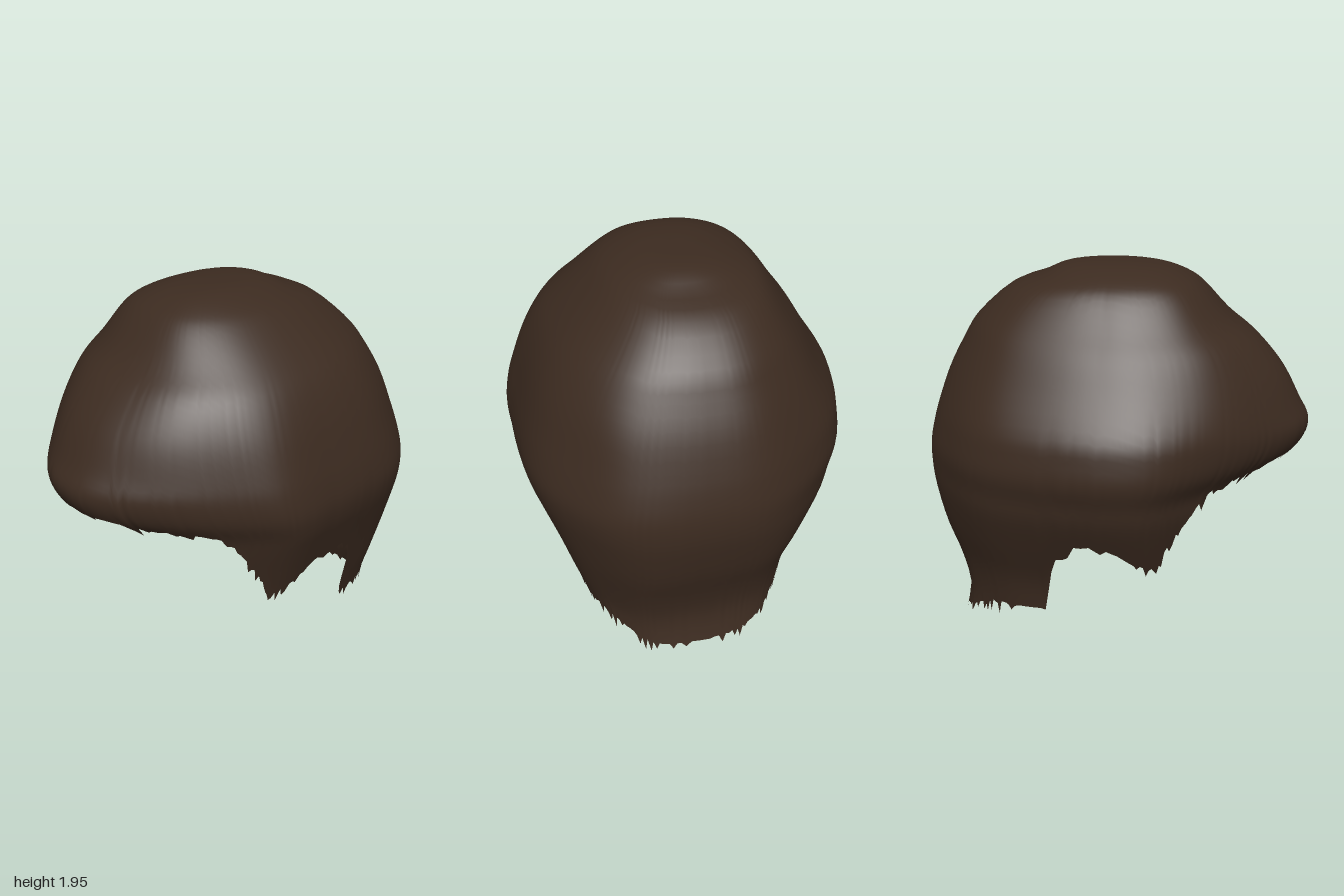
import * as THREE from 'three';

// Horizontal sections: y, front z, back z, left x, right x, front taper, back power
const SECTIONS = [
  [1.95, 0, 0, 0, 0, -0.1, 0.9],
  [1.945, 0.13, 0.18, 0.11, 0.12, -0.15, 0.9],
  [1.925, 0.26, 0.29, 0.2, 0.23, -0.2, 0.87],
  [1.88, 0.37, 0.39, 0.31, 0.35, -0.25, 0.84],
  [1.82, 0.45, 0.55, 0.4, 0.43, -0.25, 0.83],
  [1.68, 0.58, 0.71, 0.56, 0.53, -0.05, 0.83],
  [1.57, 0.72, 0.78, 0.66, 0.61, 0.2, 0.84],
  [1.42, 0.85, 0.86, 0.74, 0.7, 0.6, 0.85],
  [1.25, 0.94, 0.925, 0.8, 0.81, 1.0, 0.87],
  [1.14, 0.99, 0.96, 0.83, 0.84, 1.3, 0.87],
  [1.03, 0.95, 0.985, 0.845, 0.85, 1.4, 0.86],
  [0.92, 0.84, 0.99, 0.83, 0.82, 1.4, 0.85],
  [0.8, 0.82, 0.975, 0.79, 0.79, 1.45, 0.82],
  [0.6, 0.78, 0.93, 0.72, 0.7, 1.5, 0.76],
  [0.4, 0.75, 0.86, 0.66, 0.61, 1.5, 0.7],
  [0.2, 0.72, 0.82, 0.6, 0.57, 1.5, 0.67],
  [0.0, 0.72, 0.86, 0.58, 0.54, 1.5, 0.67],
];

// Lower edge: degrees away from the front, height
const HEM = [
  [0, 1.03], [12, 1.01], [26, 0.97], [36, 0.95], [42, 0.93], [46, 0.88], [51, 0.8], [62, 0.65],
  [67, 0.52], [72, 0.53], [81, 0.58], [86, 0.64], [91, 0.68], [98, 0.68], [101, 0.63], [104, 0.46],
  [105.5, 0.3], [108, 0.23], [132, 0.21], [144, 0.15], [156, 0.09], [166, 0.05], [184, 0.03],
];

function hemHeight(deg) {
  let k = 1;
  while (k < HEM.length - 1 && HEM[k][0] < deg) k++;
  const [a, ya] = HEM[k - 1], [b, yb] = HEM[k];
  return ya + (yb - ya) * (deg - a) / (b - a);
}

function seeded(seed) {
  return () => {
    seed = (seed * 16807) % 2147483647;
    return seed / 2147483647;
  };
}

// Smooth curve through three columns of the section table
function profile(a, b, c) {
  const points = SECTIONS.map(s => new THREE.Vector3(s[a], s[b], s[c]));
  return new THREE.CatmullRomCurve3(points, false, 'catmullrom', 0.5);
}

// Shell swept from the crown down to a ragged hem
function hairShell(columns = 240, rows = 44) {
  const depth = profile(0, 1, 2), width = profile(3, 4, 0), shape = profile(5, 6, 0);
  const random = seeded(71);
  const positions = [], indices = [];
  const d = new THREE.Vector3(), w = new THREE.Vector3(), p = new THREE.Vector3();

  for (let i = 0; i < columns; i++) {
    const angle = (i / columns) * Math.PI * 2;
    const c = Math.cos(angle), s = Math.sin(angle);
    const deg = Math.acos(THREE.MathUtils.clamp(c, -1, 1)) * 180 / Math.PI;

    // Narrow strand tips along the edge; the nape reaches further forward on the right
    const shift = s < 0 && deg > 95 ? 3 : 0;
    const hem = Math.max(0, hemHeight(deg + shift) + 0.01 - 0.08 * random() ** 4);

    // Where this column's profile meets the hem
    let lo = 0, hi = 1;
    for (let k = 0; k < 24; k++) {
      const mid = (lo + hi) / 2;
      if (depth.getPoint(mid, d).x > hem) lo = mid; else hi = mid;
    }

    for (let j = 0; j <= rows; j++) {
      const t = lo * j / rows;
      depth.getPoint(t, d);
      width.getPoint(t, w);
      shape.getPoint(t, p);
      // Round at the back, drawn to a blunt point at the front
      const xPower = c > 0 ? 0.9 : p.y;
      const zPower = c > 0 ? 0.9 + p.x * c * c : p.y;
      const x = Math.sign(s) * Math.abs(s) ** xPower * (s > 0 ? w.x : w.y);
      const z = Math.sign(c) * Math.abs(c) ** zPower * (c > 0 ? d.y : d.z);
      // Soft combed waves, and a slight lean from crown to brim
      const wave = 1 + 0.005 * Math.sin(angle * 9 + d.x * 2) * Math.min(1, t * 2);
      const lean = Math.min(0.045, (1.5 - d.x) * 0.09) * Math.abs(c) * (c > 0 ? d.y : d.z);
      positions.push(x * wave + lean, d.x, z * wave);

      if (j < rows) {
        const a = i * (rows + 1) + j;
        const b = ((i + 1) % columns) * (rows + 1) + j;
        if (j > 0) indices.push(a, b + 1, b);
        indices.push(a, a + 1, b + 1);
      }
    }
  }
  const geometry = new THREE.BufferGeometry();
  geometry.setAttribute('position', new THREE.Float32BufferAttribute(positions, 3));
  geometry.setIndex(indices);
  geometry.computeVertexNormals();
  return geometry;
}

export function createModel() {
  const group = new THREE.Group();
  group.name = 'hairpiece';
  const brown = new THREE.MeshStandardMaterial({ color: 0x3c2b20, side: THREE.DoubleSide });
  brown.name = 'dark brown hair';

  const hair = new THREE.Mesh(hairShell(), brown);
  hair.name = 'hair';
  group.add(hair);
  return group;
}
